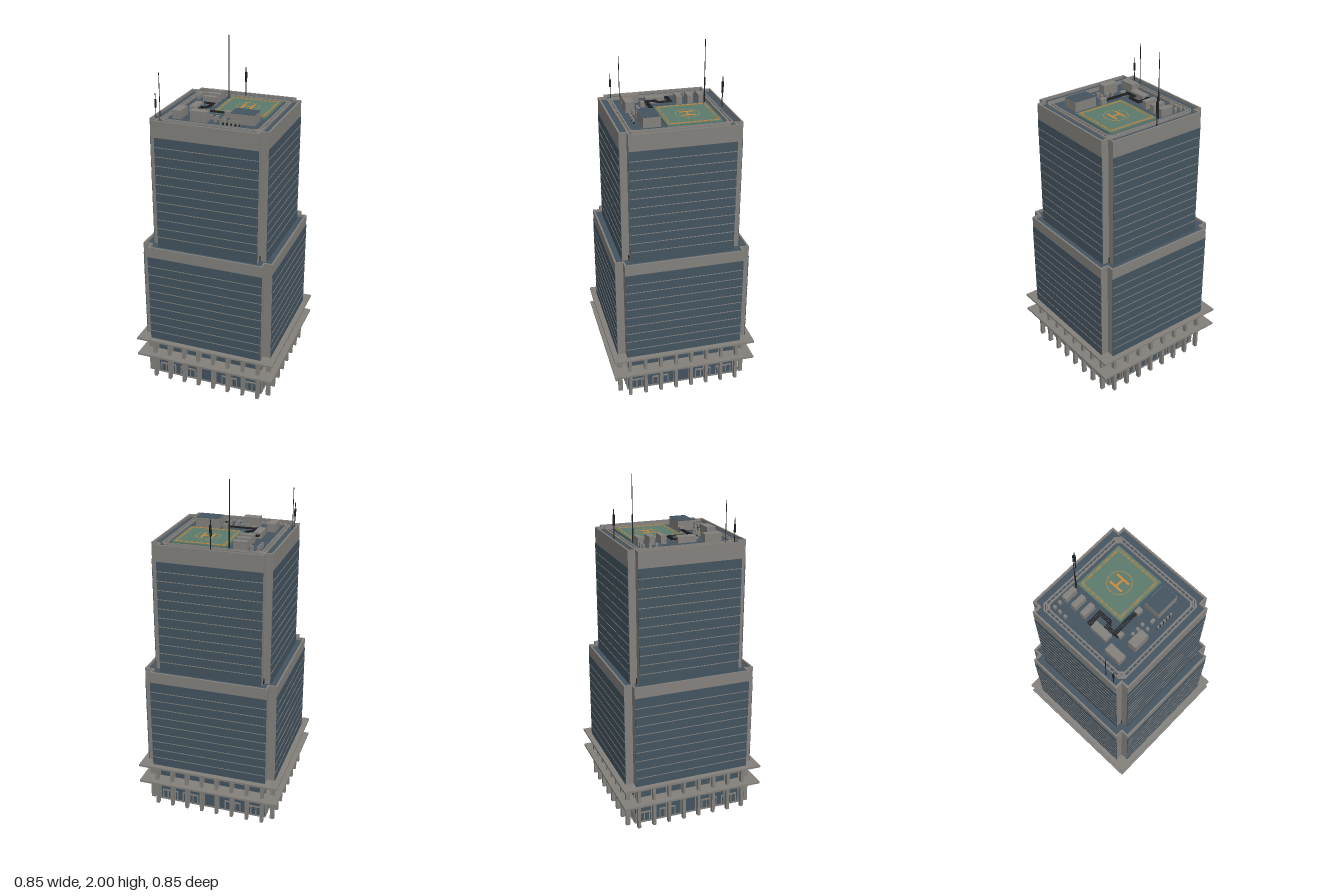
import * as THREE from 'three';

const mat = (name, color) => Object.assign(new THREE.MeshStandardMaterial({ color }), { name });

export function createModel() {
  const concrete = mat('concrete', 0x83807c);
  const glass = mat('blueGlass', 0x43535f);
  const green = mat('padGreen', 0x5c7a6b);
  const orange = mat('padOrange', 0xd1883b);
  const dark = mat('darkMetal', 0x1f2022);

  const model = new THREE.Group();
  model.name = 'officeTower';

  const add = (name, geo, material, x = 0, y = 0, z = 0, parent = model) => {
    const m = new THREE.Mesh(geo, material);
    m.name = name;
    m.position.set(x, y, z);
    parent.add(m);
    return m;
  };
  // Box given by its ranges in x, y and z
  const block = (name, material, x0, x1, y0, y1, z0, z1, parent = model) =>
    add(name, new THREE.BoxGeometry(x1 - x0, y1 - y0, z1 - z0), material,
      (x0 + x1) / 2, (y0 + y1) / 2, (z0 + z1) / 2, parent);
  // Four copies of a facade, built facing +z
  const fourSides = (name, build) => {
    for (let i = 0; i < 4; i++) {
      const g = new THREE.Group();
      g.name = name;
      g.rotation.y = i * Math.PI / 2;
      build(g);
      model.add(g);
    }
  };
  // Plan outlines
  const toPoints = (list) => list.map(([x, y]) => new THREE.Vector2(x, y));
  const cross = (h, n) => toPoints([[h, -n], [h, n], [n, n], [n, h], [-n, h], [-n, n],
    [-h, n], [-h, -n], [-n, -n], [-n, -h], [n, -h], [n, -n]]);
  const square = (h) => toPoints([[h, -h], [h, h], [-h, h], [-h, -h]]);
  const octagon = (h, c) => toPoints([[h, c - h], [h, h - c], [h - c, h], [c - h, h],
    [-h, h - c], [-h, c - h], [c - h, -h], [h - c, -h]]);
  const slab = (name, material, outer, y0, y1, hole) => {
    const shape = new THREE.Shape(outer);
    if (hole) shape.holes.push(new THREE.Path(hole));
    const geo = new THREE.ExtrudeGeometry(shape, { depth: y1 - y0, bevelEnabled: false });
    geo.rotateX(-Math.PI / 2);
    return add(name, geo, material, 0, y0, 0);
  };

  // Tower stages: notched concrete body, sunken roof, parapet, glass faces with floor lines
  const stage = (name, h, n, y0, y1, glassTop, firstLine, lines) => {
    slab(name + 'Body', concrete, cross(h, n), y0, y1 - 0.02);
    slab(name + 'Roof', glass, cross(h - 0.01, n - 0.01), y1 - 0.02, y1 - 0.015);
    slab(name + 'Parapet', concrete, cross(h, n), y1 - 0.02, y1, cross(h - 0.01, n - 0.01));
    fourSides(name + 'Facade', (g) => {
      block('glassWall', glass, -n, n, y0, glassTop, h - 0.002, h + 0.002, g);
      for (let i = 0; i < lines; i++) {
        const y = firstLine + i * 0.0545;
        block('floorLine', concrete, -n, n, y - 0.0018, y + 0.0018, h, h + 0.004, g);
      }
    });
  };
  stage('lowerTower', 0.393, 0.347, 0.275, 0.893, 0.828, 0.332, 9);
  stage('upperTower', 0.343, 0.301, 0.875, 1.64, 1.545, 0.945, 11);

  // Podium: canopies, ceiling and lift core
  slab('lowerCanopy', concrete, square(0.427), 0.157, 0.169, square(0.27));
  slab('upperCanopy', concrete, square(0.427), 0.267, 0.279, square(0.32));
  block('podiumCeiling', glass, -0.33, 0.33, 0.266, 0.274, -0.33, 0.33);
  block('liftCore', concrete, -0.045, 0.045, 0, 0.27, -0.045, 0.045);

  // Podium walls, frames, doors and outer columns
  fourSides('podiumFacade', (g) => {
    block('podiumGlass', glass, -0.335, 0.335, 0, 0.27, 0.325, 0.335, g);
    for (const y of [0.004, 0.14, 0.212, 0.253])
      block('podiumRail', concrete, -0.338, 0.338, y - 0.004, y + 0.004, 0.322, 0.339, g);
    for (let i = 0; i < 8; i++) {
      const x = (i - 3.5) * 0.0938;
      block('column', concrete, x - 0.009, x + 0.009, 0, 0.27, 0.367, 0.392, g);
      block('mullion', concrete, x - 0.004, x + 0.004, 0, 0.267, 0.333, 0.34, g);
    }
    for (const s of [-1, 1]) {
      for (const c of [0.135, 0.265]) {
        const x = s * c;
        block('doorHead', concrete, x - 0.05, x + 0.05, 0.062, 0.07, 0.333, 0.341, g);
        for (const d of [-0.047, -0.016, 0.016, 0.047])
          block('doorPost', concrete, x + d - 0.003, x + d + 0.003, 0, 0.066, 0.333, 0.341, g);
      }
    }
  });

  // Cleaning track round the roof
  const roof = 1.625;
  slab('outerTrack', concrete, octagon(0.296, 0.026), roof, roof + 0.01, octagon(0.289, 0.024));
  slab('innerTrack', concrete, octagon(0.276, 0.022), roof, roof + 0.01, octagon(0.268, 0.02));
  fourSides('trackTies', (g) => {
    for (let i = -9; i <= 9; i++)
      block('tie', concrete, i * 0.0285 - 0.002, i * 0.0285 + 0.002, roof, roof + 0.007, 0.272, 0.292, g);
    const corner = block('cornerTie', concrete, -0.02, 0.02, roof, roof + 0.009, -0.004, 0.004, g);
    corner.position.x = corner.position.z = 0.271;
    corner.rotation.y = Math.PI / 4;
  });

  // Helicopter pad with painted border, ring and centre mark
  const pad = new THREE.Group();
  pad.name = 'landingPad';
  pad.position.set(0.089, roof, -0.09);
  model.add(pad);
  block('padDeck', green, -0.157, 0.157, 0, 0.012, -0.156, 0.156, pad);
  const paint = (x0, x1, z0, z1) => block('padMarking', orange, x0, x1, 0.0115, 0.0135, z0, z1, pad);
  for (const h of [0.143, 0.135]) {
    for (const s of [-1, 1]) {
      paint(-h, h, s * h - 0.0013, s * h + 0.0013);
      paint(s * h - 0.0013, s * h + 0.0013, -h, h);
    }
  }
  for (const s of [-1, 1]) paint(s * 0.028 - 0.006, s * 0.028 + 0.006, -0.043, 0.043);
  paint(-0.024, 0.024, -0.005, 0.005);
  add('padRing', new THREE.RingGeometry(0.066, 0.069, 48).rotateX(-Math.PI / 2), orange, 0, 0.0132, 0, pad);

  // Roof plant: x0, x1, z0, z1, top
  const units = [
    [-0.183, -0.103, -0.244, -0.212, 1.672], [-0.183, -0.103, -0.178, -0.146, 1.672],
    [-0.183, -0.103, -0.112, -0.08, 1.672], [-0.2, -0.153, -0.02, 0.09, 1.66],
    [-0.241, -0.192, 0.123, 0.224, 1.673], [-0.132, -0.035, 0.183, 0.234, 1.685],
    [-0.136, -0.105, 0.107, 0.131, 1.655], [0.02, 0.057, 0.082, 0.11, 1.66],
    [0.036, 0.062, 0.179, 0.193, 1.655],
  ];
  for (const [x0, x1, z0, z1, top] of units) block('plantUnit', concrete, x0, x1, roof, top, z0, z1);
  for (const [x, z] of [[-0.071, 0.16], [-0.035, 0.16], [0, 0.16], [0, 0.196],
    [-0.244, -0.236], [-0.208, -0.236], [-0.244, -0.198], [-0.244, -0.161]])
    block('roofVent', concrete, x - 0.008, x + 0.008, roof, 1.65, z - 0.008, z + 0.008);
  block('plantRoom', concrete, 0.085, 0.226, roof, 1.682, 0.096, 0.194);
  block('plantRoomRoof', glass, 0.087, 0.224, 1.682, 1.685, 0.098, 0.192);
  block('ventRail', dark, 0.037, 0.152, roof, 1.636, 0.225, 0.231);
  for (let i = 0; i < 5; i++)
    block('ventStack', concrete, 0.04 + i * 0.024, 0.052 + i * 0.024, roof, 1.655, 0.224, 0.233);

  // Bundle of dark pipes
  for (let i = 0; i < 3; i++) {
    const o = i * 0.009;
    const path = [[-0.19 + o, -0.02], [-0.19 + o, -0.05 + o], [-0.098 - o, -0.05 + o],
      [-0.098 - o, 0.03 + o], [-0.147 + o, 0.03 + o], [-0.147 + o, 0.1 - o], [0.02, 0.1 - o]];
    for (let k = 0; k + 1 < path.length; k++) {
      const [[ax, az], [bx, bz]] = [path[k], path[k + 1]];
      const r = 0.0025;
      block('pipe', dark, Math.min(ax, bx) - r, Math.max(ax, bx) + r, 1.645, 1.65,
        Math.min(az, bz) - r, Math.max(az, bz) + r);
    }
  }
  block('dropPipe', dark, -0.145, -0.135, 1.64, 1.65, 0.09, 0.12);

  // Masts: stacked rods as [radius, bottom, top]
  const mast = (x, z, rods) => {
    for (const [r, y0, y1] of rods)
      add('mast', new THREE.CylinderGeometry(r, r, y1 - y0, 8), dark, x, (y0 + y1) / 2, z);
  };
  mast(-0.083, -0.24, [[0.004, roof, 1.78], [0.002, 1.78, 2]]);
  mast(-0.322, 0.21, [[0.002, roof, 1.87]]);
  mast(-0.322, 0.263, [[0.002, roof, 1.77], [0.006, 1.69, 1.735]]);
  mast(-0.005, -0.322, [[0.003, roof, 1.8], [0.007, 1.71, 1.77]]);
  // Short lamps in the roof corners
  for (const x of [-0.305, 0.305])
    for (const z of [-0.305, 0.305]) mast(x, z, [[0.003, 0.875, 0.91]]);
  return model;
}
